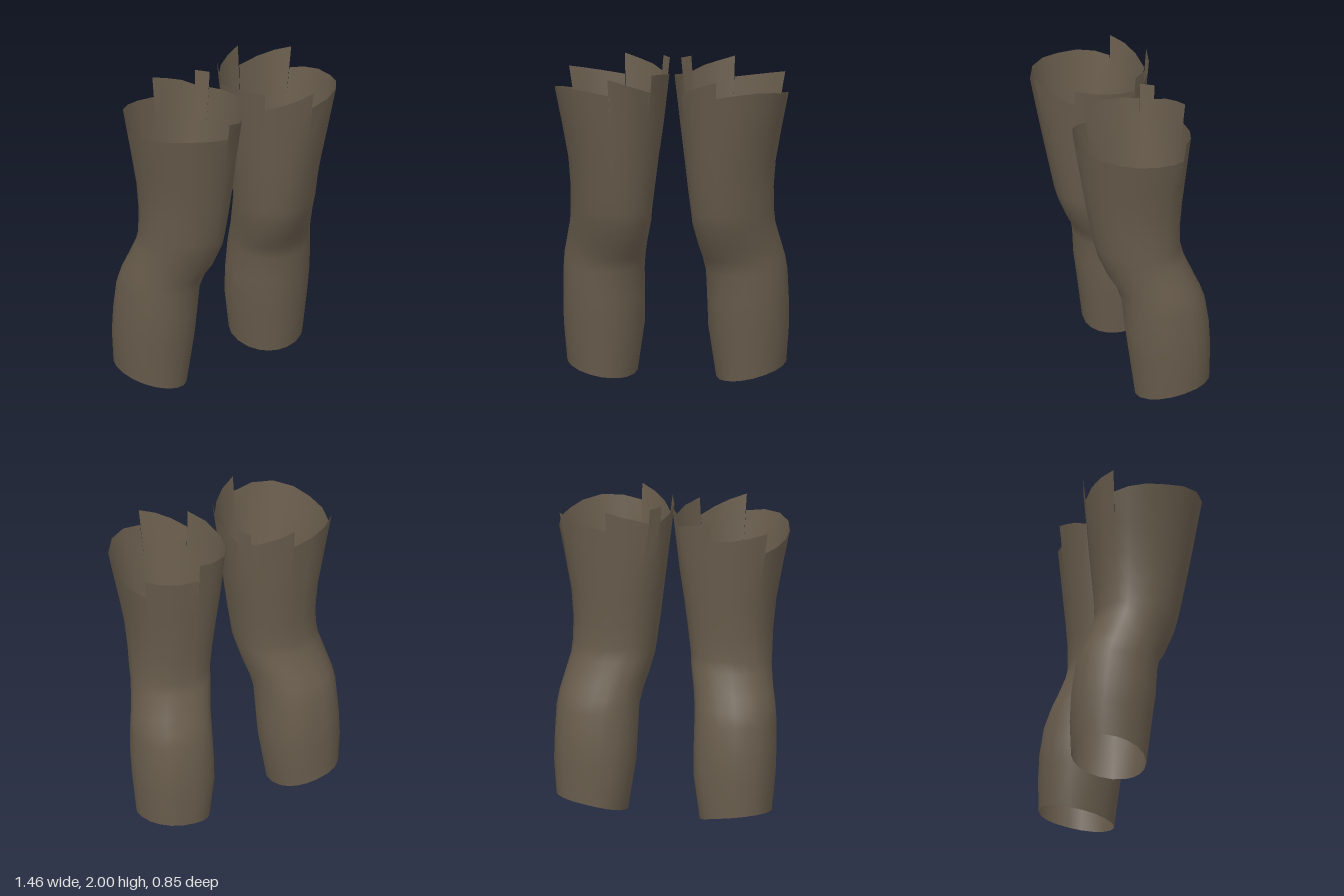
import * as THREE from 'three';
import { mergeVertices } from 'three/addons/utils/BufferGeometryUtils.js';

// Cross-sections of the left leg: y, inner x, outer x, back z, front z, z of widest point, sideways shift of the front
const SECTIONS = [
  [0.00, 0.25, 0.675, -0.41, 0.05, -0.18, 0],
  [0.10, 0.235, 0.685, -0.415, 0.06, -0.18, 0],
  [0.33, 0.20, 0.705, -0.42, 0.09, -0.17, 0],
  [0.50, 0.197, 0.705, -0.412, 0.112, -0.15, 0],
  [0.68, 0.195, 0.70, -0.385, 0.125, -0.13, -0.01],
  [0.77, 0.185, 0.69, -0.355, 0.148, -0.10, -0.03],
  [0.85, 0.17, 0.672, -0.32, 0.195, -0.07, -0.05],
  [0.99, 0.137, 0.642, -0.265, 0.253, -0.02, -0.04],
  [1.07, 0.128, 0.637, -0.247, 0.275, 0, -0.03],
  [1.22, 0.108, 0.636, -0.25, 0.305, 0.01, -0.02],
  [1.40, 0.085, 0.65, -0.265, 0.34, 0.01, -0.01],
  [1.60, 0.057, 0.685, -0.282, 0.375, 0, 0],
  [1.85, 0.028, 0.735, -0.30, 0.418, 0, 0],
  [2.02, 0.008, 0.765, -0.32, 0.44, 0, 0],
];

// Torn upper edge as [angle, height] runs; 0 is the outer side, 90 the front
const TORN_EDGE = [
  [[-38, 1.785], [-20, 1.805], [0, 1.825], [18, 1.838], [36, 1.858], [56, 1.87], [77, 1.862], [97, 1.84]],
  [[97, 1.945], [113, 1.91], [128, 1.875], [143.5, 1.84]],
  [[143.5, 1.95], [163, 1.935], [183, 1.915], [202, 1.90]],
  [[202, 2.0], [219, 2.0]],
  [[219, 1.905], [234, 1.935], [250, 1.96], [265, 1.99]],
  [[265, 1.86], [284, 1.88], [303, 1.90], [322, 1.92]],
].flat();

function sectionAt(y) {
  let i = 0;
  while (i < SECTIONS.length - 2 && y > SECTIONS[i + 1][0]) i++;
  const a = SECTIONS[i], b = SECTIONS[i + 1];
  const t = (y - a[0]) / (b[0] - a[0]);
  return a.map((v, k) => THREE.MathUtils.lerp(v, b[k], t));
}

// Point on the leg surface at an angle (degrees) and height
function surfacePoint(deg, y) {
  const [, xIn, xOut, zBack, zFront, zMid, shift] = sectionAt(y);
  const c = Math.cos(deg * Math.PI / 180), s = Math.sin(deg * Math.PI / 180);
  const power = s < 0 ? 0.9 : 1; // the back is a little squarer
  const x = (xIn + xOut) / 2 + (xOut - xIn) / 2 * Math.sign(c) * Math.abs(c) ** power + shift * Math.max(s, 0);
  const z = zMid + (s > 0 ? zFront - zMid : zMid - zBack) * Math.sign(s) * Math.abs(s) ** power;
  return [x, y, z];
}

// Sloping lower hem, lowest at the inner front
function hemHeight(deg) {
  const a = deg * Math.PI / 180;
  return 0.06 + 0.04 * Math.cos(a) - 0.045 * Math.sin(a);
}

function legGeometry(side) {
  const middle = SECTIONS.map(r => r[0]).filter(y => y > 0.2 && y < 1.7);
  const columns = [...TORN_EDGE, [322, 1.785]];
  const rows = middle.length + 2;
  const positions = [], index = [];
  for (const [deg, top] of columns) {
    for (const y of [hemHeight(deg), ...middle, top]) {
      const [x, py, z] = surfacePoint(deg, y);
      positions.push(side * x, py, z);
    }
  }
  for (let i = 0; i < columns.length - 1; i++) {
    if (columns[i + 1][0] === columns[i][0]) continue; // vertical tear
    if (i === columns.length - 2) continue;
    for (let j = 0; j < rows - 1; j++) {
      const a = i * rows + j, b = a + rows;
      if (side > 0) index.push(a, a + 1, b, b, a + 1, b + 1);
      else index.push(a, b, a + 1, b, b + 1, a + 1);
    }
  }
  let geometry = new THREE.BufferGeometry();
  geometry.setAttribute('position', new THREE.Float32BufferAttribute(positions, 3));
  geometry.setIndex(index);
  geometry = mergeVertices(geometry, 1e-4);
  geometry.computeVertexNormals();
  return geometry;
}

export function createModel() {
  const cloth = new THREE.MeshStandardMaterial({ color: 0x685c4c, side: THREE.DoubleSide });
  cloth.name = 'brownCloth';
  const group = new THREE.Group();
  group.name = 'trouserLegs';
  for (const [name, side] of [['leftLeg', 1], ['rightLeg', -1]]) {
    const leg = new THREE.Mesh(legGeometry(side), cloth);
    leg.name = name;
    group.add(leg);
  }
  return group;
}
